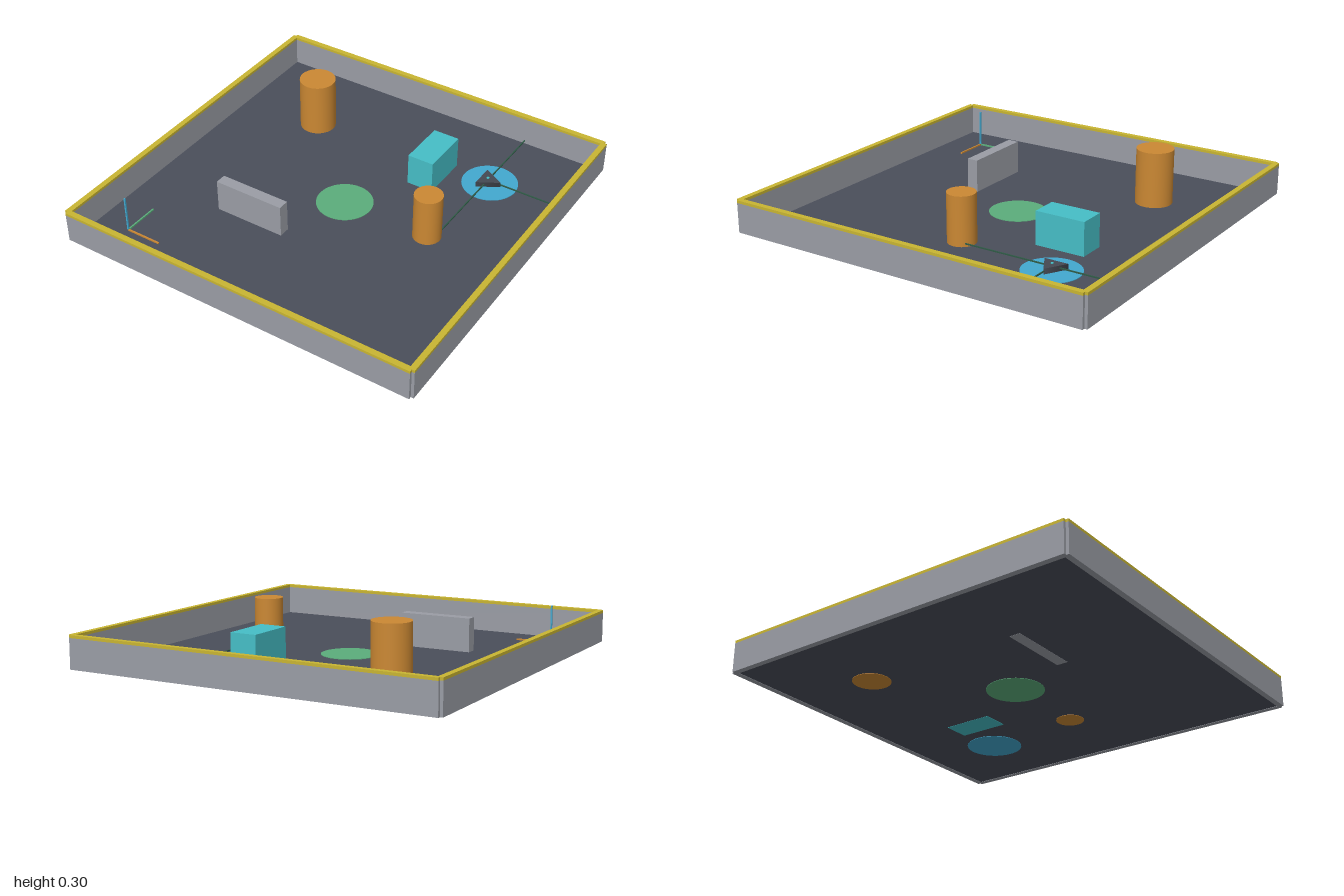
import * as THREE from 'three';

const mat = (name, color) => {
  const m = new THREE.MeshStandardMaterial({ color });
  m.name = name;
  return m;
};

export function createModel() {
  const group = new THREE.Group();
  const slate = mat('slate', 0x4a4e5a);
  const grey = mat('grey', 0x9a9da5);
  const yellow = mat('yellow', 0xc9b532);
  const orange = mat('orange', 0xcb8833);
  const cyan = mat('cyan', 0x46bec6);
  const green = mat('green', 0x5bad7b);
  const blue = mat('blue', 0x42a8cf);
  const dark = mat('charcoal', 0x454952);
  const rayGreen = mat('dark green', 0x2f5a46);
  slate.side = THREE.DoubleSide;

  const add = (name, geometry, material, x, y, z) => {
    const mesh = new THREE.Mesh(geometry, material);
    mesh.name = name;
    mesh.position.set(x, y, z);
    group.add(mesh);
    return mesh;
  };
  // box given by its lower and upper limits
  const box = (name, material, x0, x1, y0, y1, z0, z1) =>
    add(name, new THREE.BoxGeometry(x1 - x0, y1 - y0, z1 - z0), material,
      (x0 + x1) / 2, (y0 + y1) / 2, (z0 + z1) / 2);
  // upright cylinder given by its bottom and height
  const drum = (name, material, x, z, r, y0, h, sides = 32) =>
    add(name, new THREE.CylinderGeometry(r, r, h, sides), material, x, y0 + h / 2, z);

  // thin floor
  add('floor', new THREE.PlaneGeometry(1.97, 1.97).rotateX(-Math.PI / 2), slate, 0, 0.002, 0);

  // walls with a yellow top trim, open notches at the corners
  for (const s of [-1, 1]) {
    const a = s * 0.985 - 0.015, b = s * 0.985 + 0.015;
    for (const [part, m, y0, y1] of [['wall', grey, 0, 0.156], ['wallTrim', yellow, 0.156, 0.17]]) {
      box(part, m, -0.985, 0.985, y0, y1, a, b);
      box(part, m, a, b, y0, y1, -0.985, 0.985);
    }
  }

  // obstacles
  drum('largePillar', orange, -0.51, -0.512, 0.098, 0, 0.297);
  drum('smallPillar', orange, 0.49, 0, 0.074, 0, 0.26);
  box('crate', cyan, 0.185, 0.33, 0.001, 0.178, -0.59, -0.32);
  box('lowBarrier', grey, -0.51, -0.12, 0.001, 0.178, 0.34, 0.4);

  // floor markers
  drum('centreMarker', green, 0, 0, 0.149, 0, 0.005, 48);
  drum('goalMarker', blue, 0.55, -0.55, 0.149, 0, 0.005, 48);

  // three-sided rover with a small sensor on top
  const rx = 0.54, rz = -0.546;
  drum('rover', dark, rx, rz, 0.075, 0.005, 0.028, 3).rotation.y = Math.PI / 2;
  drum('roverSensor', cyan, rx, rz, 0.007, 0.033, 0.005, 12);

  // sensor beams
  const t = 0.003, y = 0.02;
  box('beamBack', rayGreen, rx - t, rx + t, y - t, y + t, -0.97, rz);
  box('beamFront', rayGreen, rx - t, rx + t, y - t, y + t, rz, -0.055);
  box('beamSide', rayGreen, rx, 0.97, y - t, y + t, rz - t, rz + t);

  // axis marker in the corner
  const c = 0.785, w = 0.004;
  box('axisX', orange, -c, -0.59, 0.003, 0.011, c - w, c + w);
  box('axisDepth', green, -c - w, -c + w, 0.003, 0.011, 0.59, c - w);
  box('axisUp', blue, -c - w, -c + w, 0.011, 0.205, c - w, c + w);

  return group;
}
